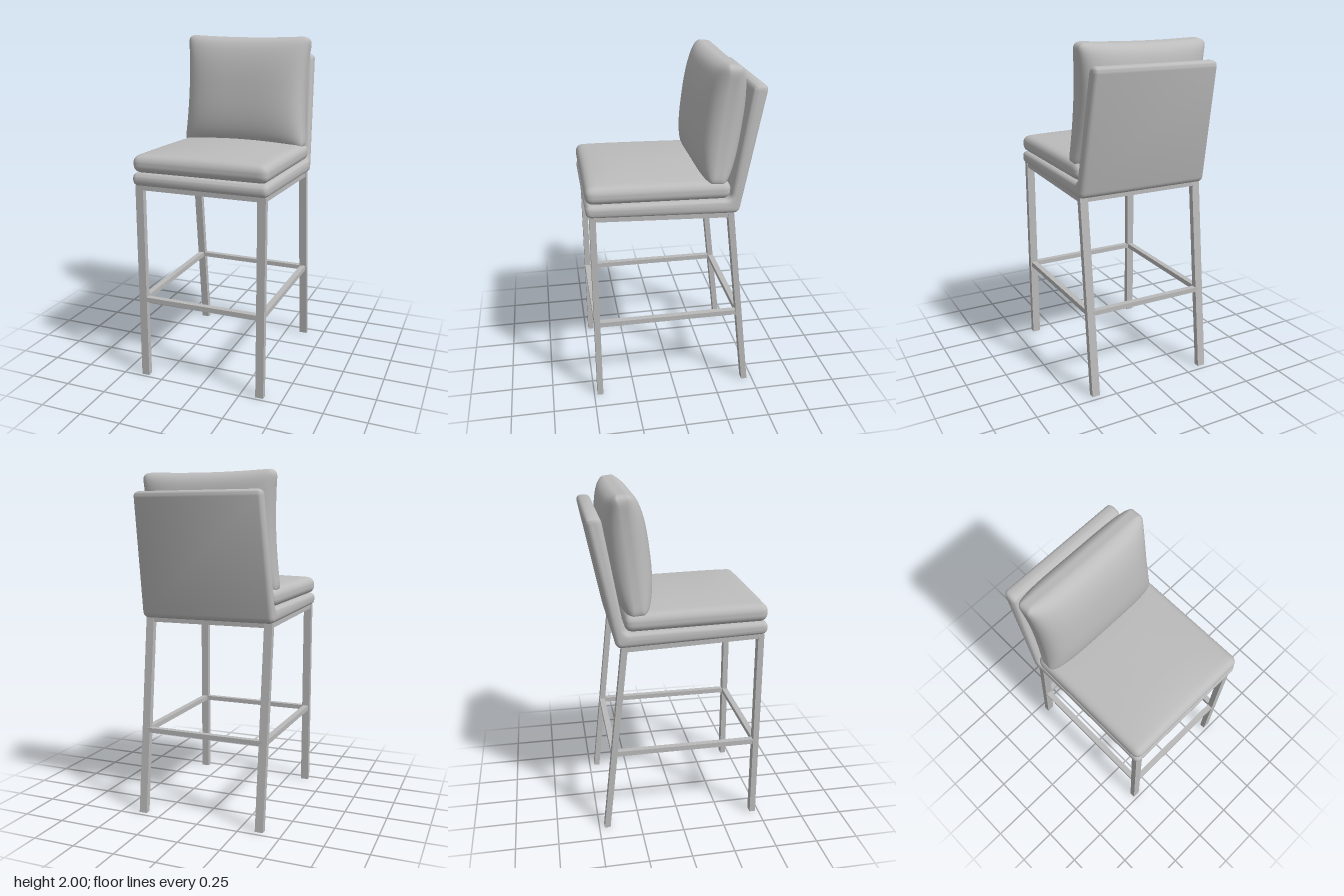
import * as THREE from 'three';
import { mergeVertices, toCreasedNormals } from 'three/addons/utils/BufferGeometryUtils.js';

const upholstery = new THREE.MeshStandardMaterial({ color: 0xbcbcbc });
upholstery.name = 'upholstery grey';
const metal = new THREE.MeshStandardMaterial({ color: 0xbababa });
metal.name = 'metal grey';

function mesh(name, geometry, material) {
  const m = new THREE.Mesh(geometry, material);
  m.name = name;
  return m;
}

// Move every vertex of a geometry by a rule
function deform(geometry, rule) {
  const p = geometry.attributes.position;
  const v = new THREE.Vector3();
  for (let i = 0; i < p.count; i++) {
    v.fromBufferAttribute(p, i);
    rule(v);
    p.setXYZ(i, v.x, v.y, v.z);
  }
  return geometry;
}

// Smooth rounded block, finely divided, reshaped by a rule
function softBlock(hx, hy, hz, r, rule) {
  let g = new THREE.BoxGeometry(2, 2, 2, 28, 28, 28);
  g.deleteAttribute('uv');
  g.deleteAttribute('normal');
  g = mergeVertices(g);
  const half = new THREE.Vector3(hx, hy, hz);
  const inner = half.clone().subScalar(r);
  const core = new THREE.Vector3();
  const spread = (t) => Math.sin(t * Math.PI / 2); // denser rows near the edges
  deform(g, (v) => {
    v.set(spread(v.x), spread(v.y), spread(v.z)).multiply(half);
    core.copy(v).clamp(inner.clone().negate(), inner);
    v.sub(core).setLength(r).add(core);
    rule(v);
  });
  g.computeVertexNormals();
  return g;
}

// Closed outline with rounded corners
function roundedOutline(points, r) {
  const pts = points.map(([x, y]) => new THREE.Vector2(x, y));
  const shape = new THREE.Shape();
  pts.forEach((p, i) => {
    const prev = pts[(i + pts.length - 1) % pts.length];
    const next = pts[(i + 1) % pts.length];
    const a = prev.clone().sub(p).setLength(r).add(p);
    const b = next.clone().sub(p).setLength(r).add(p);
    if (i === 0) shape.moveTo(a.x, a.y);
    else shape.lineTo(a.x, a.y);
    shape.quadraticCurveTo(p.x, p.y, b.x, b.y);
  });
  shape.closePath();
  return shape;
}

// One-piece seat base and backrest, an L profile extruded across the width
function makeShell() {
  const bevel = 0.028;
  const shape = roundedOutline([
    [-0.5, 1.193], [0.365, 1.163], [0.51, 1.885], [0.425, 1.89], [0.315, 1.248], [-0.5, 1.268],
  ], 0.036);
  const g = new THREE.ExtrudeGeometry(shape, {
    depth: 0.81 - 2 * bevel, bevelEnabled: true, bevelThickness: bevel,
    bevelSize: bevel, bevelOffset: -bevel, bevelSegments: 5, curveSegments: 6,
  });
  g.translate(0, 0, -(0.81 - 2 * bevel) / 2);
  g.rotateY(Math.PI / 2);
  deform(g, (v) => { v.x *= 1 - 0.07 * Math.max(0, (v.y - 1.25) / 0.63); });
  return toCreasedNormals(g, 0.7);
}

// Box leg with level ends, leaning from z0 at the floor to z1 at the top
function makeLeg(x, z0, z1, top) {
  const g = new THREE.BoxGeometry(0.048, top, 0.035);
  g.translate(0, top / 2, 0);
  deform(g, (v) => { v.x += x; v.z += z0 + (z1 - z0) * v.y / top; });
  g.computeVertexNormals();
  return g;
}

const railY = (z) => 1.165 + 0.037 * z; // the seat frame slopes down to the back

export function createModel() {
  const model = new THREE.Group();
  model.name = 'barStool';

  model.add(mesh('seatBaseAndBackrest', makeShell(), upholstery));

  // Crowned seat cushion
  model.add(mesh('seatCushion', softBlock(0.405, 0.047, 0.408, 0.044, (v) => {
    const crown = (1 - (v.x / 0.405) ** 2) * (1 - (v.z / 0.408) ** 4);
    if (v.y > 0) v.y += 0.027 * crown + 0.007;
    v.z += 0.092;
    v.y += 1.305 + 0.02 * v.z;
  }), upholstery));

  // Pillow: full in the middle, pinched at edges, with pointed corners
  const pillow = mesh('backPillow', softBlock(0.4, 0.34, 0.132, 0.05, (v) => {
    const u = Math.min(1, Math.abs(v.x / 0.4));
    const w = Math.min(1, Math.abs(v.y / 0.34));
    v.z *= 0.27 + 0.73 * Math.sqrt((1 - u ** 4) * (1 - w ** 2.6));
    v.x *= 1 - 0.055 * (1 - w * w);
    v.y *= 1 - 0.035 * (1 - u * u);
  }), upholstery);
  pillow.position.set(0, 1.663, -0.275);
  pillow.rotation.x = -0.12;
  model.add(pillow);

  // Legs, side rails and side stretchers, mirrored
  for (const s of [-1, 1]) {
    const side = s > 0 ? 'left' : 'right';
    const x = s * 0.368;
    model.add(mesh(side + 'FrontLeg', makeLeg(x, 0.463, 0.463, 1.195), metal));
    model.add(mesh(side + 'BackLeg', makeLeg(x, -0.451, -0.319, 1.17), metal));

    const rail = new THREE.BoxGeometry(0.04, 0.03, 0.78);
    deform(rail, (v) => { v.x += x; v.z += 0.072; v.y += railY(v.z); });
    model.add(mesh(side + 'SeatRail', rail, metal));

    const stretcher = new THREE.BoxGeometry(0.035, 0.03, 0.85);
    stretcher.translate(x, 0.498, 0.034);
    model.add(mesh(side + 'Stretcher', stretcher, metal));
  }

  // Cross bars at the front and back
  for (const [name, y, z] of [
    ['frontSeatRail', railY(0.463), 0.463], ['backSeatRail', railY(-0.319), -0.319],
    ['frontStretcher', 0.498, 0.463], ['backStretcher', 0.498, -0.395],
  ]) {
    const bar = mesh(name, new THREE.BoxGeometry(0.72, 0.028, 0.035), metal);
    bar.position.set(0, y, z);
    model.add(bar);
  }

  // Slats below the seat
  for (let i = 0; i < 6; i++) {
    const z = -0.235 + i * 0.123;
    const slat = mesh('seatSlat', new THREE.BoxGeometry(0.72, 0.014, 0.1), metal);
    slat.position.set(0, railY(z) + 0.003, z);
    slat.rotation.x = -0.037;
    model.add(slat);
  }

  return model;
}
